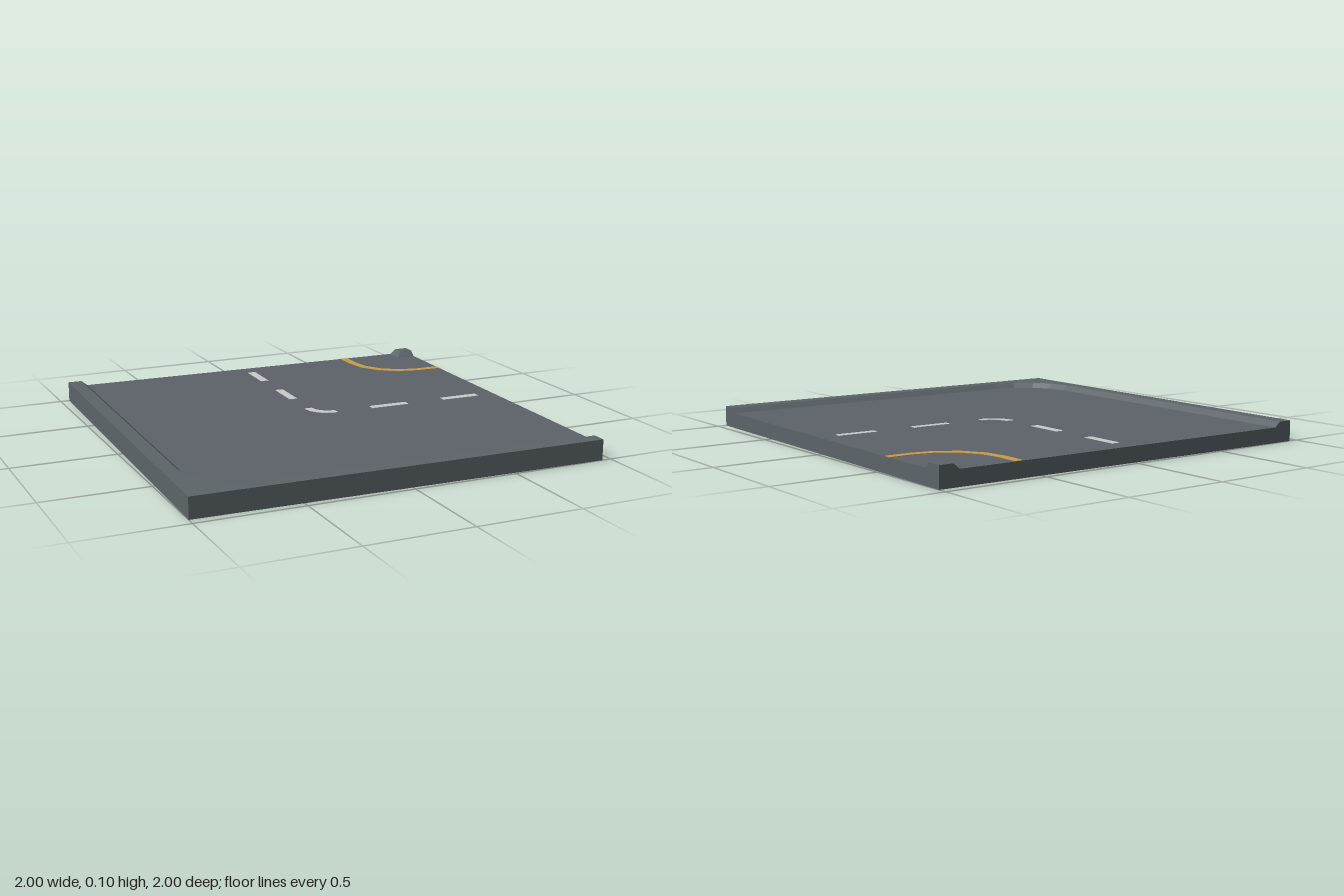
import * as THREE from 'three';

const S = 0.978;        // half width of the tile
const ROAD = 0.073;     // road surface height
const TOP = 0.098;      // curb top height

const material = (name, color) => {
  const m = new THREE.MeshStandardMaterial({ color });
  m.name = name;
  return m;
};

// Quarter arc in the ground plane as five [x, z] points
function arc(cx, cz, r, startAngle) {
  return Array.from({ length: 5 }, (_, i) => {
    const a = startAngle - (i * Math.PI) / 8;
    return [cx + r * Math.cos(a), cz + r * Math.sin(a)];
  });
}

// Curb swept through stations of [outer, top edge, foot] ground points
function curbGeometry(stations) {
  const rings = stations.map(([o, t, f]) => [
    [o[0], ROAD, o[1]], [o[0], TOP, o[1]], [t[0], TOP, t[1]], [f[0], ROAD, f[1]],
  ]);
  const pos = [];
  const tri = (...p) => p.forEach((v) => pos.push(...v));
  for (let s = 0; s < rings.length - 1; s++) {
    const a = rings[s], b = rings[s + 1];
    for (let i = 0; i < 3; i++) {
      tri(a[i], b[i], a[i + 1]);
      tri(a[i + 1], b[i], b[i + 1]);
    }
  }
  // End caps
  const a = rings[0], b = rings[rings.length - 1];
  tri(a[0], a[1], a[2]);
  tri(a[0], a[2], a[3]);
  tri(b[0], b[2], b[1]);
  tri(b[0], b[3], b[2]);
  const g = new THREE.BufferGeometry();
  g.setAttribute('position', new THREE.Float32BufferAttribute(pos, 3));
  g.computeVertexNormals();
  return g;
}

// Thin painted plate from a ground-plane outline
function paintGeometry(points) {
  const shape = new THREE.Shape(points.map(([x, z]) => new THREE.Vector2(x, -z)));
  const g = new THREE.ExtrudeGeometry(shape, { depth: 0.002, bevelEnabled: false });
  return g.rotateX(-Math.PI / 2).translate(0, ROAD, 0);
}

// Curved band around (c, -c), with straight runs out to `end`
function bandPoints(c, outer, inner, end) {
  const edge = (r) => [[c - r, -end], ...arc(c, -c, r, Math.PI), [end, r - c]];
  return [...edge(outer), ...edge(inner).reverse()];
}

export function createModel() {
  const asphalt = material('asphalt', 0x5d6169);
  const concrete = material('curb grey', 0x5d6569);
  const white = material('white paint', 0xc8cacc);
  const yellow = material('yellow paint', 0xc99b49);

  const model = new THREE.Group();
  model.name = 'roadCornerTile';
  const add = (name, geometry, mat) => {
    const mesh = new THREE.Mesh(geometry, mat);
    mesh.name = name;
    model.add(mesh);
    return mesh;
  };

  // Slab with the road surface as its top face
  add('roadSlab', new THREE.BoxGeometry(2 * S, ROAD, 2 * S).translate(0, ROAD / 2, 0),
    [concrete, concrete, asphalt, concrete, concrete, concrete]);

  // Long curb around the outside of the bend
  const C = 0.62;
  const tops = arc(-C, C, 0.29, Math.PI);
  const feet = arc(-C, C, 0.26, Math.PI);
  const outers = [[-S, C], [-S, S], [-S, S], [-S, S], [-C, S]];
  add('outerCurb', curbGeometry([
    [[-S, -S], [-0.91, -S], [-0.88, -S]],
    ...tops.map((t, i) => [outers[i], t, feet[i]]),
    [[S, S], [S, 0.91], [S, 0.88]],
  ]), concrete);

  // Small curb block at the inside corner
  const corner = [S, -S];
  add('innerCurb', curbGeometry([
    [corner, [S, -0.91], [S, -0.88]],
    [corner, [0.91, -0.91], [0.88, -0.88]],
    [corner, [0.91, -S], [0.88, -S]],
  ]), concrete);

  // Yellow line around the inside corner
  add('yellowLine', paintGeometry(bandPoints(0.86, 0.29, 0.25, S)), yellow);

  // White dashed centre line
  add('centreDashBend', paintGeometry(bandPoints(0.1, 0.12, 0.08, 0.105)), white);
  for (const d of [0.39, 0.785]) {
    const dash = (x, z, w, l) => paintGeometry(
      [[x - w, z - l], [x - w, z + l], [x + w, z + l], [x + w, z - l]]);
    add('centreDashBack', dash(0, -d, 0.02, 0.099), white);
    add('centreDashSide', dash(d, 0, 0.099, 0.02), white);
  }

  // The tile sits slightly turned
  model.rotation.y = -0.023;
  return model;
}
